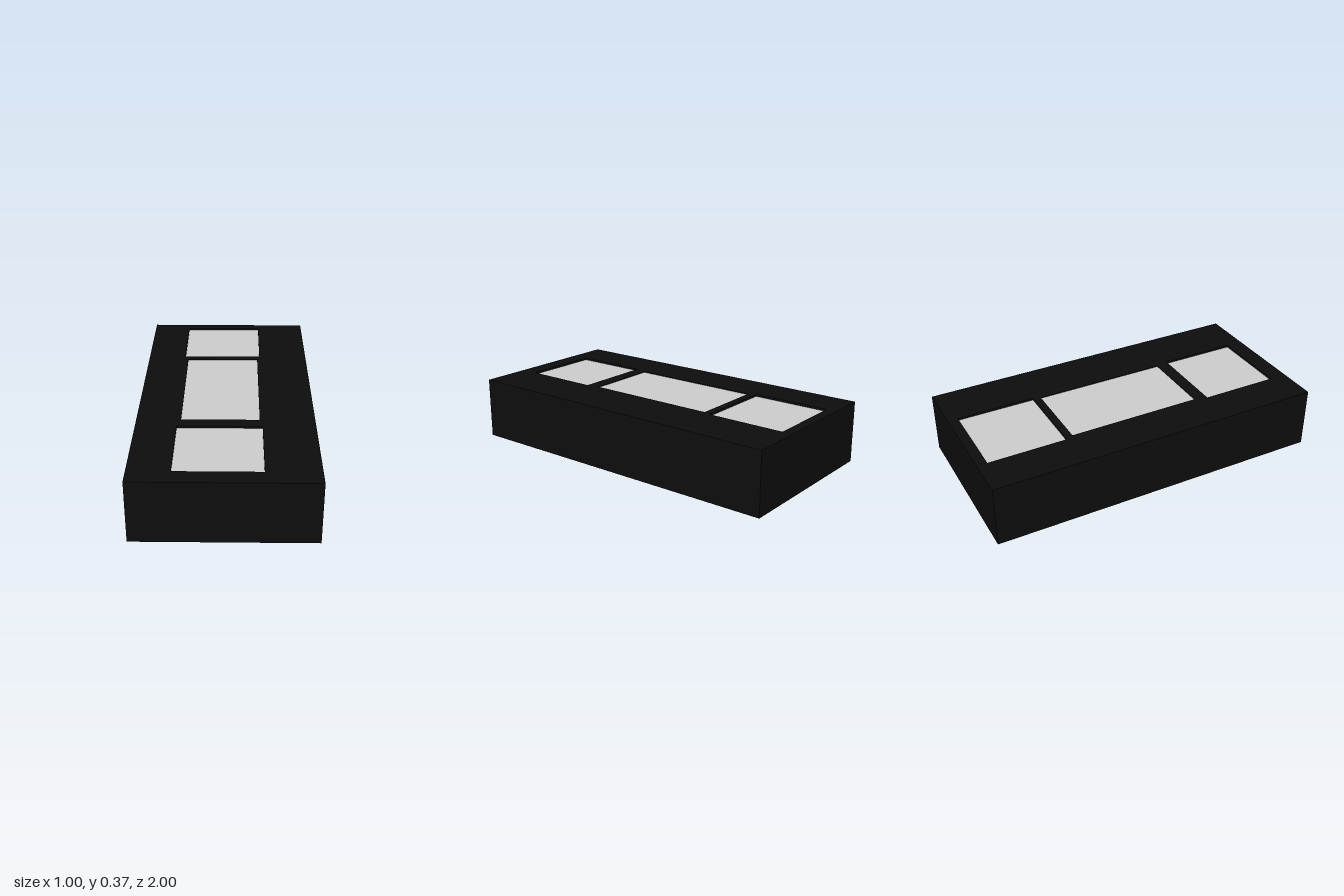
import * as THREE from 'three';

const HEIGHT = 0.365;
const SPLIT = 0.3; // the middle well stops here, the end wells go right through

// Openings as [x0, x1, z0, z1]
const BACK = [-0.27, 0.205, -0.94, -0.478];
const MIDDLE = [-0.25, 0.19, -0.435, 0.36];
const FRONT = [-0.27, 0.205, 0.435, 0.897];

// Traces a rectangle on the ground plan (shape y is -z)
function trace(path, [x0, x1, z0, z1]) {
  path.moveTo(x0, -z1);
  path.lineTo(x1, -z1);
  path.lineTo(x1, -z0);
  path.lineTo(x0, -z0);
  path.closePath();
  return path;
}

export function createModel() {
  const group = new THREE.Group();
  const black = new THREE.MeshStandardMaterial({ color: 0x0d0d0d });
  black.name = 'black casing';
  const grey = new THREE.MeshStandardMaterial({ color: 0xcccccc });
  grey.name = 'light grey';

  function add(name, geometry, material) {
    const mesh = new THREE.Mesh(geometry, material);
    mesh.name = name;
    group.add(mesh);
  }

  // A slab of the casing with rectangular wells cut through it
  function slab(name, y0, y1, openings) {
    const shape = trace(new THREE.Shape(), [-0.5, 0.5, -1, 1]);
    for (const o of openings) shape.holes.push(trace(new THREE.Path(), o));
    const geometry = new THREE.ExtrudeGeometry(shape, { depth: y1 - y0, bevelEnabled: false });
    geometry.rotateX(-Math.PI / 2).translate(0, y0, 0);
    add(name, geometry, black);
  }

  // A block filling a well between two heights
  function block(name, [x0, x1, z0, z1], y0, y1) {
    const geometry = new THREE.BoxGeometry(x1 - x0, y1 - y0, z1 - z0);
    geometry.translate((x0 + x1) / 2, (y0 + y1) / 2, (z0 + z1) / 2);
    add(name, geometry, grey);
  }

  // Casing
  slab('casingBase', 0, SPLIT, [BACK, FRONT]);
  slab('casingTop', SPLIT, HEIGHT, [BACK, MIDDLE, FRONT]);

  // Slightly recessed blocks
  block('backBlock', BACK, 0.022, HEIGHT - 0.012);
  block('frontBlock', FRONT, 0.022, HEIGHT - 0.012);
  block('middleBlock', MIDDLE, SPLIT, HEIGHT - 0.005);

  return group;
}
